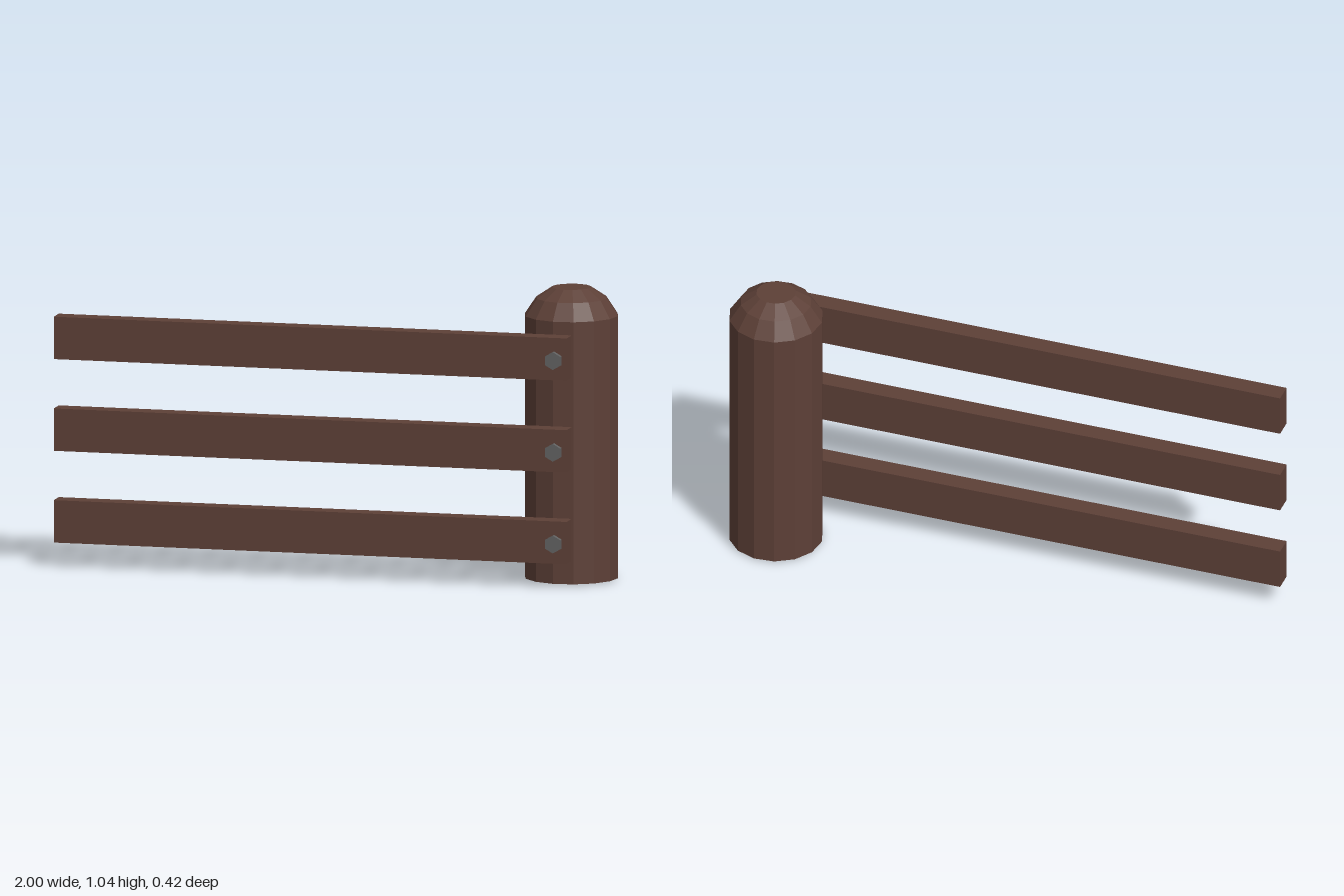
import * as THREE from 'three';

export function createModel() {
  const model = new THREE.Group();
  model.name = 'fenceSection';
  const wood = new THREE.MeshStandardMaterial({ color: 0x5d4037, flatShading: true });
  const metal = new THREE.MeshStandardMaterial({ color: 0x616161, flatShading: true });

  const add = (name, geometry, material, x, y, z) => {
    const mesh = new THREE.Mesh(geometry, material);
    mesh.name = name;
    mesh.position.set(x, y, z);
    model.add(mesh);
  };

  // Round post with a chamfered top, closed at both ends
  const profile = [[0, 0], [0.168, 0.005], [0.168, 0.945], [0.127, 1.007], [0.07, 1.045], [0, 1.045]]
    .map(([r, y]) => new THREE.Vector2(r, y));
  const startAngle = THREE.MathUtils.degToRad(94.3);
  add('post', new THREE.LatheGeometry(profile, 14, startAngle), wood, 0.832, 0, -0.042);

  // Three rails, each held to the post by a hexagonal bolt head
  const railGeometry = new THREE.BoxGeometry(1.876, 0.152, 0.07);
  const boltGeometry = new THREE.CylinderGeometry(0.032, 0.032, 0.03, 6).rotateX(Math.PI / 2);
  ['lower', 'middle', 'upper'].forEach((level, i) => {
    const y = 0.165 + i * 0.329;
    add(level + 'Rail', railGeometry, wood, -0.062, y, 0.16);
    add(level + 'Bolt', boltGeometry, metal, 0.83, y - 0.004, 0.199);
  });

  return model;
}
